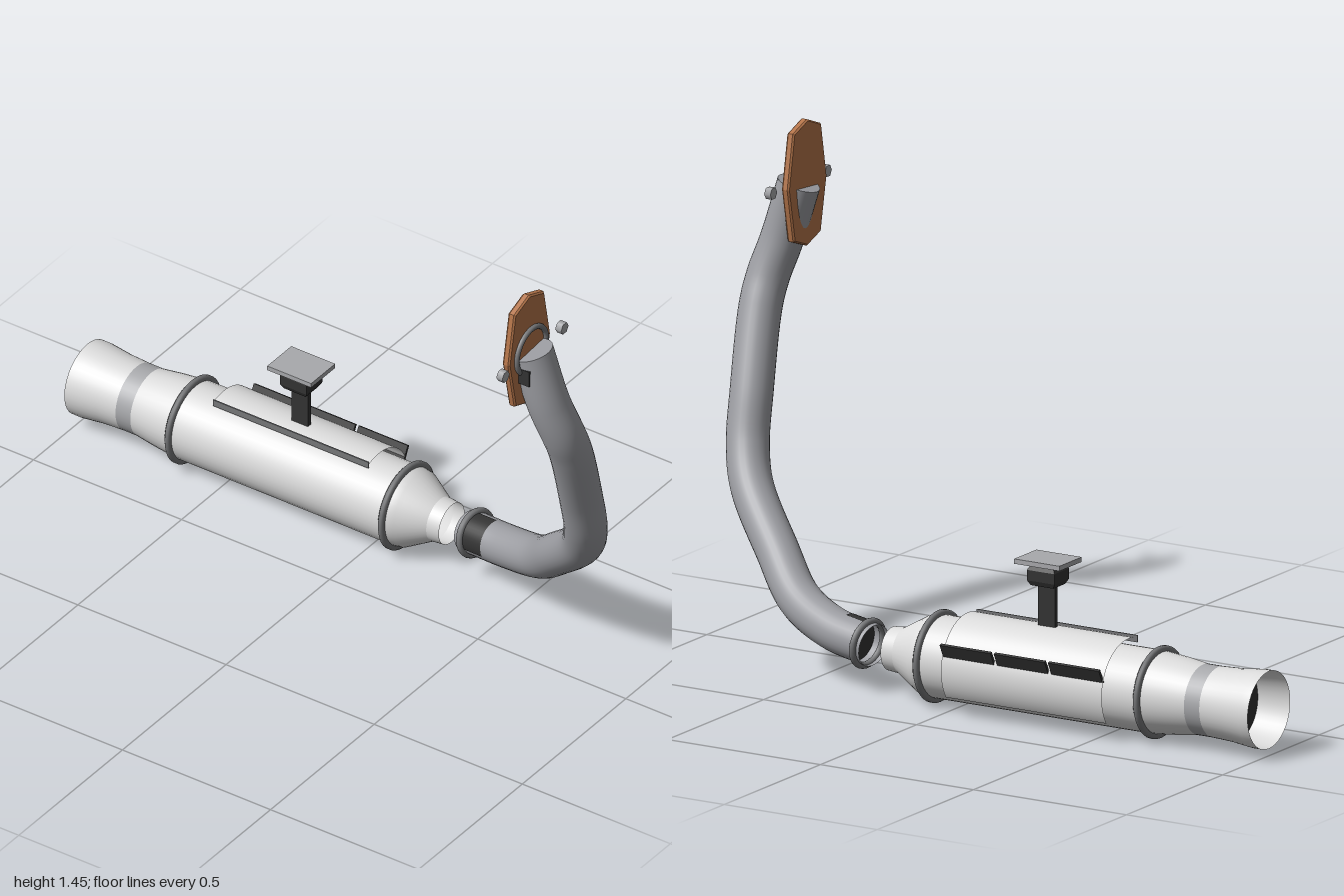
import * as THREE from 'three';

const V = (x, y, z) => new THREE.Vector3(x, y, z);
const rad = THREE.MathUtils.degToRad;
const AXIS_Y = 0.136, AXIS_Z = -0.26;

function material(name, color) {
  const m = new THREE.MeshStandardMaterial({ color, side: THREE.DoubleSide });
  m.name = name;
  return m;
}

export function createModel() {
  const root = new THREE.Group();
  root.name = 'exhaust';
  const steel = material('light steel', 0xdcdcdc);
  const band = material('band grey', 0xa8a9ac);
  const pipeGrey = material('pipe grey', 0x9c9da2);
  const ringGrey = material('ring grey', 0x77787a);
  const dark = material('dark rubber', 0x333333);
  const copper = material('copper', 0xb5754a);

  const add = (name, geo, mat, x = 0, y = 0, z = 0, parent = root) => {
    const m = new THREE.Mesh(geo, mat);
    m.name = name;
    m.position.set(x, y, z);
    parent.add(m);
    return m;
  };

  // Muffler: turned sections along x, points are [x, radius]
  const muffler = new THREE.Group();
  muffler.name = 'muffler';
  muffler.position.set(0, AXIS_Y, AXIS_Z);
  root.add(muffler);
  const turn = (name, mat, pts) => add(name,
    new THREE.LatheGeometry(pts.map(([x, r]) => new THREE.Vector2(r, x)), 40).rotateZ(-Math.PI / 2),
    mat, 0, 0, 0, muffler);
  turn('outlet', steel, [[-1, 0.111], [-0.97, 0.111], [-0.9, 0.103], [-0.835, 0.1]]);
  turn('outletBand', band, [[-0.835, 0.1], [-0.785, 0.1]]);
  turn('outletCone', steel, [[-0.785, 0.1], [-0.72, 0.109], [-0.64, 0.117]]);
  turn('mufflerBody', steel, [[-0.64, 0.117], [0.08, 0.117]]);
  turn('inletCone', steel, [[0.08, 0.117], [0.11, 0.112], [0.19, 0.066]]);
  turn('inletNeck', steel, [[0.19, 0.066], [0.23, 0.062]]);
  turn('outletMesh', dark, [[-0.9, 0], [-0.9, 0.102]]);
  for (const x of [-0.643, 0.077]) {
    turn('seamRing', ringGrey, [[x - 0.009, 0.116], [x - 0.009, 0.125], [x - 0.004, 0.131],
      [x + 0.004, 0.131], [x + 0.009, 0.125], [x + 0.009, 0.116]]);
  }

  // Curved heat shield over the top and back
  const shieldGeo = new THREE.CylinderGeometry(0.138, 0.138, 0.525, 28, 1, true, rad(-215), rad(145));
  add('heatShield', shieldGeo.rotateZ(-Math.PI / 2), steel, -0.278, 0, 0, muffler);
  add('shieldLip', new THREE.BoxGeometry(0.525, 0.02, 0.004), ringGrey, -0.278, 0.127, 0.049, muffler);
  for (let i = 0; i < 3; i++) {
    const slat = add('shieldSlat', new THREE.BoxGeometry(0.166, 0.045, 0.008), dark,
      -0.455 + i * 0.177, 0.06, -0.136, muffler);
    slat.rotation.x = -0.46;
  }

  // Hanger bracket
  add('hangerPost', new THREE.BoxGeometry(0.055, 0.15, 0.014), dark, -0.278, 0.33, AXIS_Z);
  const block = new THREE.Group();
  block.name = 'hangerBlock';
  block.position.set(-0.278, 0.421, AXIS_Z);
  root.add(block);
  for (const [y, h, top, bottom] of [[0.022, 0.014, 0.82, 1], [0, 0.03, 1, 1], [-0.022, 0.014, 1, 0.82]]) {
    const g = new THREE.CylinderGeometry(top * Math.SQRT1_2, bottom * Math.SQRT1_2, h, 4).rotateY(Math.PI / 4);
    g.scale(0.09, 1, 0.075);
    add('blockLayer', g.toNonIndexed(), dark, 0, y, 0, block).geometry.computeVertexNormals();
  }
  add('blockNeck', new THREE.BoxGeometry(0.05, 0.012, 0.045), dark, 0, 0.033, 0, block);
  add('hangerPlate', new THREE.BoxGeometry(0.148, 0.014, 0.116), band, -0.278, 0.461, AXIS_Z);

  // Header pipe
  const path = new THREE.CatmullRomCurve3([
    V(0.29, 0.136, -0.262), V(0.44, 0.158, -0.235), V(0.58, 0.21, -0.185), V(0.7, 0.315, -0.11),
    V(0.84, 0.46, -0.02), V(0.885, 0.56, 0.03), V(0.905, 0.7, 0.082), V(0.932, 0.92, 0.172),
    V(0.928, 1.0, 0.205), V(0.9, 1.1, 0.23), V(0.852, 1.265, 0.243)], false, 'centripetal');
  add('headerPipe', new THREE.TubeGeometry(path, 90, 0.061, 28), pipeGrey);
  const cap = add('pipeCap', new THREE.CircleGeometry(0.061, 28), pipeGrey);
  cap.position.copy(path.getPoint(1));
  cap.lookAt(path.getPoint(1).add(path.getTangent(1)));

  // Collar and dark patch at the lower pipe end
  const lower = new THREE.Group();
  lower.name = 'lowerJoint';
  lower.position.set(0.29, 0.136, -0.262);
  lower.rotation.set(0, -0.15, 0.12);
  root.add(lower);
  add('pipeCollar', new THREE.TorusGeometry(0.064, 0.01, 10, 32).rotateY(Math.PI / 2),
    ringGrey, 0.022, 0, 0, lower);
  add('pipePatch', new THREE.CylinderGeometry(0.063, 0.063, 0.068, 14, 1, true, rad(-100), rad(120))
    .rotateZ(-Math.PI / 2), dark, 0.066, 0, 0, lower);
  add('pipeInside', new THREE.CircleGeometry(0.06, 28).rotateY(Math.PI / 2), dark, 0.05, 0, 0, lower);

  // Copper flange with ring and nuts at the upper end
  const half = [[0, 0.178], [0.068, 0.152], [0.096, 0], [0.066, -0.152], [0, -0.176]];
  const outline = [...half, ...half.slice(1, -1).reverse().map(([z, y]) => [-z, y])];
  const flange = new THREE.ExtrudeGeometry(
    new THREE.Shape(outline.map(([z, y]) => new THREE.Vector2(z, y))),
    { depth: 0.014, bevelThickness: 0.005, bevelSize: 0.004, bevelSegments: 1 });
  add('flange', flange.rotateY(-Math.PI / 2), copper, 0.844, 1.268, 0.247);
  add('flangeRing', new THREE.TorusGeometry(0.071, 0.008, 10, 36).rotateY(Math.PI / 2),
    ringGrey, 0.853, 1.267, 0.245);
  add('flangeClip', new THREE.BoxGeometry(0.04, 0.05, 0.03), dark, 0.865, 1.212, 0.288);
  for (const z of [0.39, 0.106]) {
    add('flangeNut', new THREE.CylinderGeometry(0.018, 0.018, 0.02, 6).rotateZ(Math.PI / 2),
      band, 0.858, 1.266, z);
  }
  return root;
}
